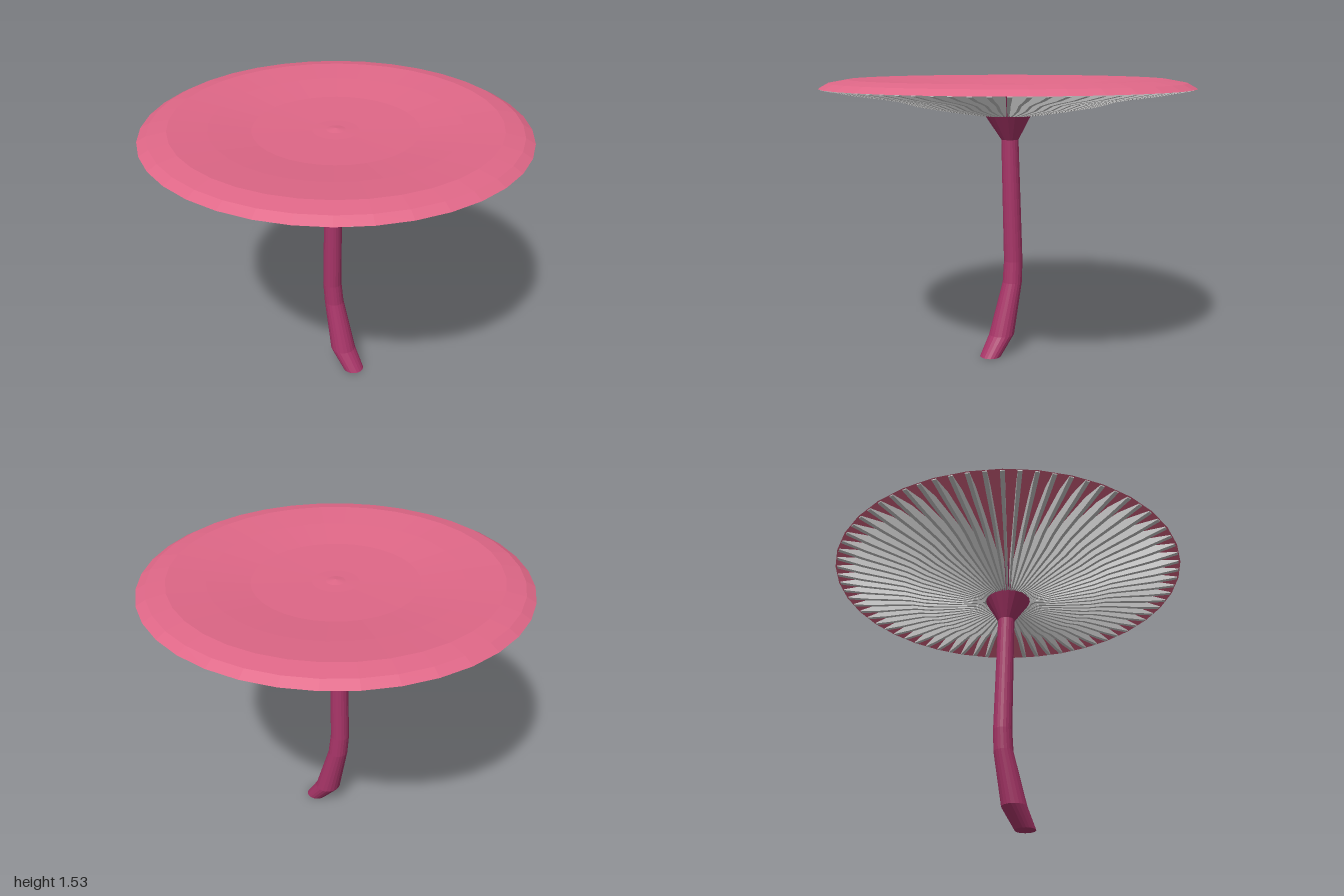
import * as THREE from 'three';
import { mergeGeometries } from 'three/addons/utils/BufferGeometryUtils.js';

const vec = ([x, y]) => new THREE.Vector2(x, y);

// Tube through horizontal rings [y, centreX, centreZ, radius], closed at both ends
function ringTube(rings, sides) {
  const geo = new THREE.CylinderGeometry(1, 1, 1, sides, rings.length - 1);
  const pos = geo.attributes.position;
  for (let i = 0; i < pos.count; i++) {
    const k = Math.round((pos.getY(i) + 0.5) * (rings.length - 1));
    const [y, cx, cz, r] = rings[k];
    pos.setXYZ(i, cx + pos.getX(i) * r, y, cz + pos.getZ(i) * r);
  }
  geo.computeVertexNormals();
  return geo;
}

export function createModel() {
  const group = new THREE.Group();
  const add = (name, geo, color) => {
    const mesh = new THREE.Mesh(geo, new THREE.MeshStandardMaterial({ color, flatShading: true }));
    mesh.name = name;
    group.add(mesh);
  };

  // Cap: thin, very shallow dish with a rounded rim and a faint central bump
  const underside = [[0.1, 1.466], [0.43, 1.473], [0.65, 1.49], [0.85, 1.503], [1, 1.482]];
  const top = [[0.95, 1.51], [0.85, 1.528], [0.65, 1.511], [0.43, 1.486],
    [0.12, 1.478], [0.05, 1.48], [0, 1.488]];
  const profile = [[0, 1.466], ...underside, ...top].map(vec);
  add('cap', new THREE.LatheGeometry(profile, 36), 0xdf6787);

  // Gills: radial fins under the cap, thicker towards the rim
  const lower = [[0.99, 1.478], [0.85, 1.452], [0.7, 1.431], [0.6, 1.415], [0.5, 1.386],
    [0.35, 1.36], [0.2, 1.337], [0.1, 1.336]];
  const upper = underside.map(([r, y]) => [Math.min(r, 0.99), y + 0.003]);
  const fin = new THREE.ExtrudeGeometry(new THREE.Shape([...lower, ...upper].map(vec)),
    { depth: 1, bevelEnabled: false });
  fin.translate(0, 0, -0.5);
  const p = fin.attributes.position;
  for (let i = 0; i < p.count; i++) p.setZ(i, p.getZ(i) * (0.005 + 0.019 * p.getX(i)));
  fin.computeVertexNormals();
  const count = 72;
  const fins = [];
  for (let i = 0; i < count; i++) fins.push(fin.clone().rotateY((i / count) * Math.PI * 2));
  add('gills', mergeGeometries(fins), 0xcccccc);

  // Stem: bent at the foot, flaring into a funnel that meets the cap between the gills
  add('stem', ringTube([
    [0, 0.022, 0.135, 0.058],
    [0.11, 0.012, 0.052, 0.07],
    [0.4, 0.007, -0.025, 0.054],
    [0.52, 0.002, -0.035, 0.052],
    [1.2, -0.004, -0.016, 0.047],
    [1.338, 0, 0, 0.128],
    [1.47, 0, 0, 0.22],
  ], 20), 0xa83568);

  return group;
}
